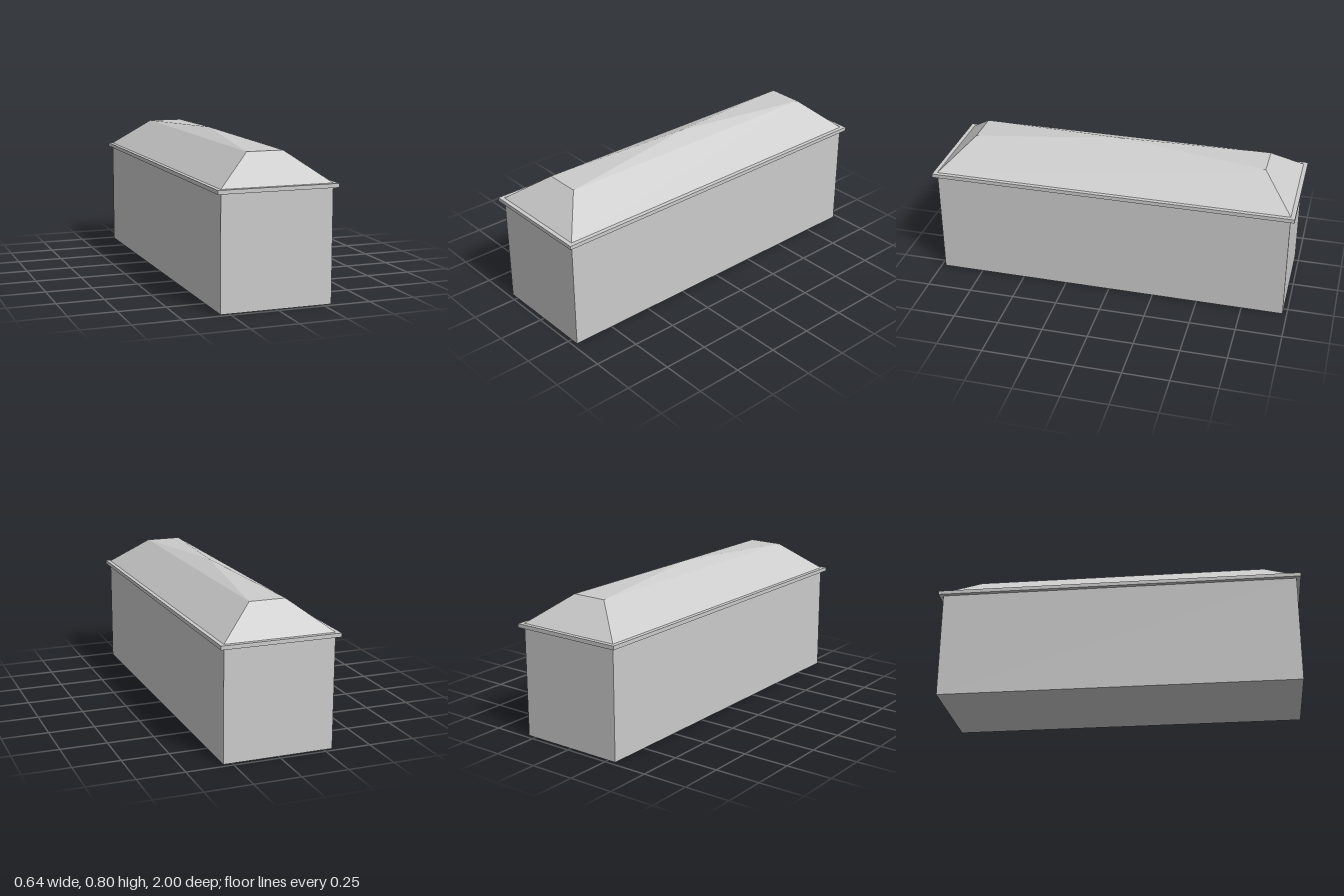
import * as THREE from 'three';

const material = new THREE.MeshStandardMaterial({ color: 0xcccccc, flatShading: true });

function addBox(group, name, width, depth, bottom, top) {
  const mesh = new THREE.Mesh(new THREE.BoxGeometry(width, top - bottom, depth), material);
  mesh.position.y = (bottom + top) / 2;
  mesh.name = name;
  group.add(mesh);
}

// Joins rectangular rings [halfWidth, y, halfDepth], listed from bottom to top
function hippedGeometry(rings) {
  const corners = [[1, 1], [1, -1], [-1, -1], [-1, 1]];
  const point = ([w, y, d], i) => [corners[i % 4][0] * w, y, corners[i % 4][1] * d];
  const positions = [];
  for (let r = 0; r < rings.length - 1; r++) {
    const [low, high] = [rings[r], rings[r + 1]];
    for (let i = 0; i < 4; i++) {
      positions.push(...point(low, i), ...point(low, i + 1), ...point(high, i + 1));
      // A ring of zero size is the peak and needs only one triangle per side
      if (high[0] > 0) positions.push(...point(low, i), ...point(high, i + 1), ...point(high, i));
    }
  }
  const geometry = new THREE.BufferGeometry();
  geometry.setAttribute('position', new THREE.Float32BufferAttribute(positions, 3));
  geometry.computeVertexNormals();
  return geometry;
}

export function createModel() {
  const group = new THREE.Group();
  group.name = 'longBuilding';

  addBox(group, 'walls', 0.592, 1.954, 0, 0.594);
  addBox(group, 'eaves', 0.638, 2, 0.594, 0.615);

  // Steep lower hips, then a shallow four-sided peak
  const roof = new THREE.Mesh(
    hippedGeometry([[0.296, 0.615, 0.977], [0.098, 0.767, 0.81], [0, 0.804, 0]]),
    material
  );
  roof.name = 'roof';
  group.add(roof);

  return group;
}
